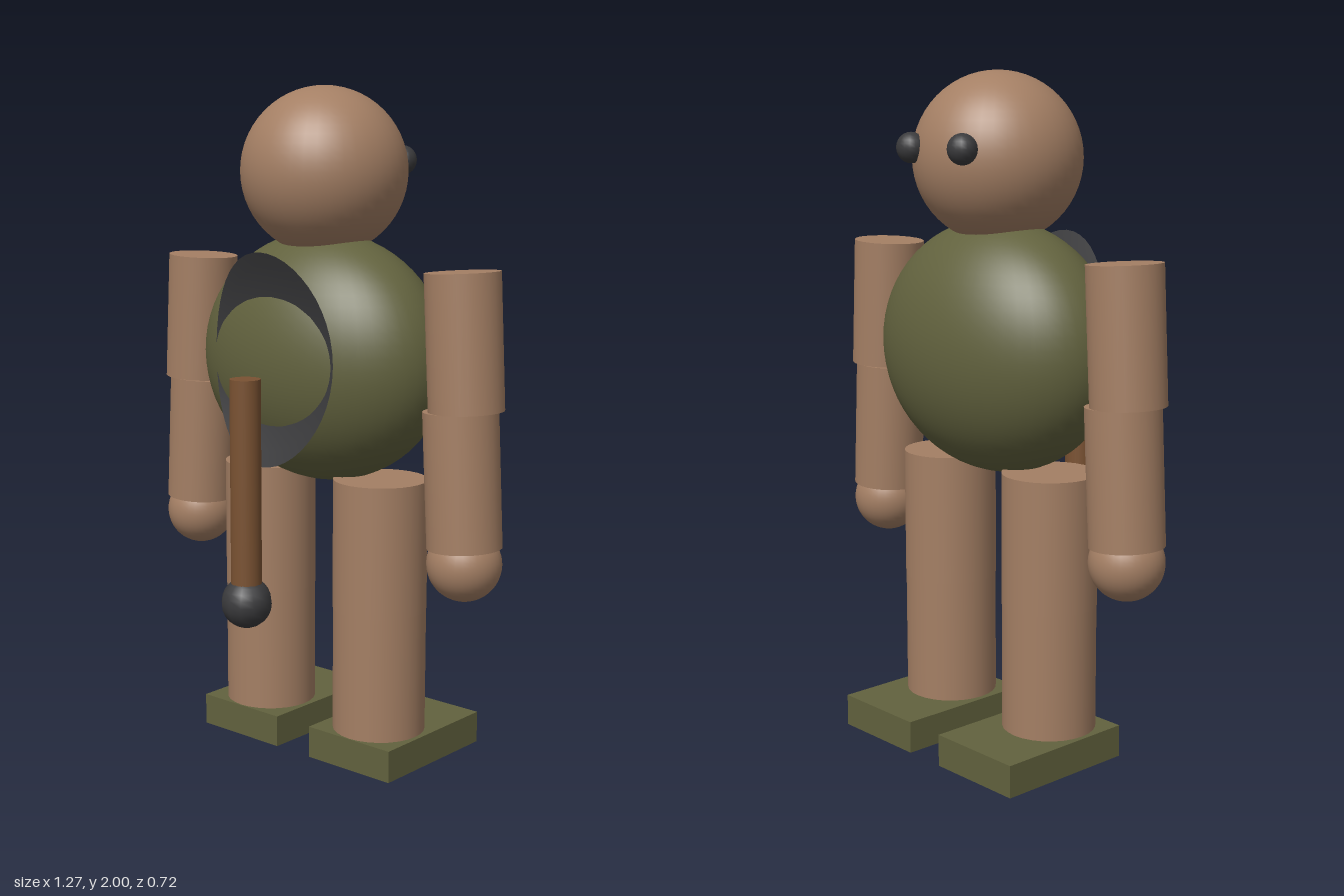
import * as THREE from 'three';

const mat = (name, color, side = THREE.FrontSide) => {
  const m = new THREE.MeshStandardMaterial({ color, side });
  m.name = name;
  return m;
};

export function createModel() {
  const skin = mat('skin', 0xa47f64);
  const olive = mat('olive', 0x62623e);
  const dark = mat('charcoal', 0x3a3a3c, THREE.DoubleSide);
  const wood = mat('wood', 0x7a5232);
  const model = new THREE.Group();
  model.name = 'figure';
  const Z = -0.06; // body axis

  const add = (name, geometry, material, x, y, z, parent = model) => {
    const mesh = new THREE.Mesh(geometry, material);
    mesh.name = name;
    mesh.position.set(x, y, z);
    parent.add(mesh);
    return mesh;
  };
  const ball = (r, w = 32, h = 24) => new THREE.SphereGeometry(r, w, h);

  // Upright or tilted cylinder between two points
  const limb = (name, a, b, r, material, parent) => {
    const from = new THREE.Vector3(...a), to = new THREE.Vector3(...b);
    const dir = to.clone().sub(from);
    const mid = from.clone().add(to).multiplyScalar(0.5);
    const mesh = add(name, new THREE.CylinderGeometry(r, r, dir.length(), 28), material, mid.x, mid.y, mid.z, parent);
    mesh.quaternion.setFromUnitVectors(new THREE.Vector3(0, -1, 0), dir.normalize());
    return mesh;
  };

  // Head and torso
  add('head', ball(0.247, 40, 28), skin, 0, 1.753, Z);
  add('torso', ball(1, 48, 32), olive, 0, 1.207, Z).scale.set(0.42, 0.372, 0.272);

  // Paired parts
  for (const s of [1, -1]) {
    const side = s > 0 ? 'left' : 'right';
    add(side + 'Eye', ball(0.044, 16, 12), dark, s * 0.11, 1.783, -0.291).scale.z = 0.95;

    const arm = new THREE.Group();
    arm.name = side + 'Arm';
    model.add(arm);
    limb('upperArm', [s * 0.505, 1.485, Z], [s * 0.526, 1.097, Z], 0.108, skin, arm);
    limb('forearm', [s * 0.506, 1.097, Z], [s * 0.527, 0.705, Z], 0.108, skin, arm);
    add('hand', ball(0.108), skin, s * 0.527, 0.658, Z, arm);

    const leg = new THREE.Group();
    leg.name = side + 'Leg';
    model.add(leg);
    limb('thigh', [s * 0.22, 0.862, Z], [s * 0.22, 0.47, Z], 0.14, skin, leg);
    limb('shin', [s * 0.22, 0.47, Z], [s * 0.22, 0.05, Z], 0.139, skin, leg);
    add('foot', new THREE.BoxGeometry(0.308, 0.096, 0.44), olive, s * 0.219, 0.048, -0.137, leg);
  }

  // Shallow oval dish on the chest, its rim bending forward
  const dish = new THREE.RingGeometry(0.001, 1, 48, 8);
  const p = dish.attributes.position;
  for (let i = 0; i < p.count; i++) {
    const x = p.getX(i) * 0.231, y = p.getY(i) * 0.31;
    p.setXYZ(i, x, y, 0.147 + 0.78 * y * y + 0.4 * x * x + 0.015 * x);
  }
  dish.computeVertexNormals();
  add('chestDish', dish, dark, 0.002, 1.22, 0);

  // Club hanging in front
  const club = new THREE.Group();
  club.name = 'club';
  model.add(club);
  limb('handle', [0, 1.175, 0.283], [0, 0.55, 0.283], 0.045, wood, club);
  add('clubHead', ball(0.075, 12, 12), dark, 0, 0.518, 0.283, club);

  return model;
}
